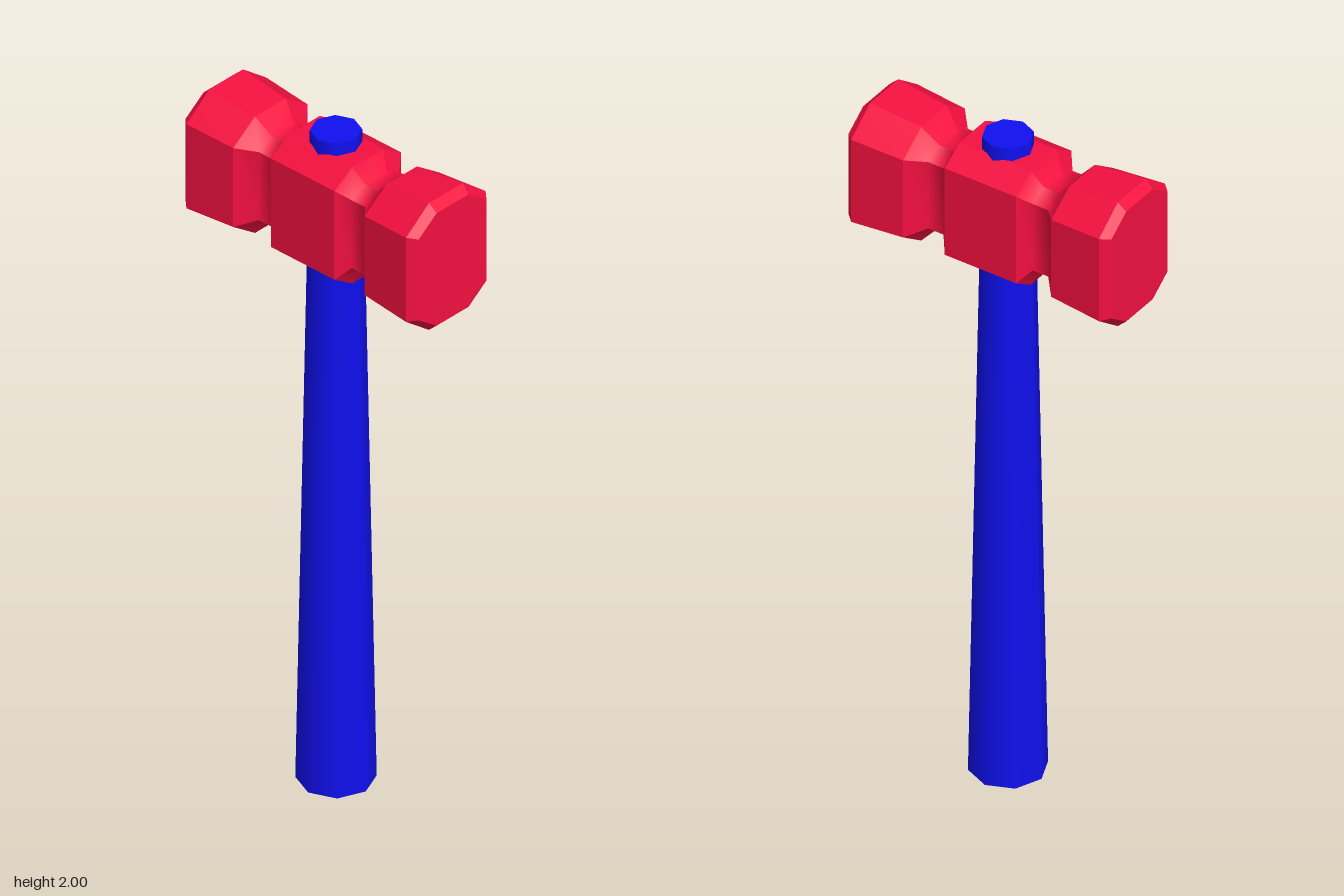
import * as THREE from 'three';

const HEAD_Y = 1.783;

// Half of the head, centre outwards: x, half height, half depth, side-flat half height, top-flat half depth
const HALF = [
  [0.112, 0.18, 0.125, 0.137, 0.058],
  [0.14, 0.132, 0.09, 0.105, 0.042],
  [0.188, 0.132, 0.09, 0.105, 0.042],
  [0.232, 0.18, 0.14, 0.122, 0.058],
  [0.388, 0.196, 0.15, 0.13, 0.064],
  [0.412, 0.174, 0.128, 0.125, 0.06],
];

// Chamfered rectangle in the y-z plane
function ring([x, hy, hz, ky, kz]) {
  return [[hy, -kz], [hy, kz], [ky, hz], [-ky, hz], [-hy, kz], [-hy, -kz], [-ky, -hz], [ky, -hz]]
    .map(([y, z]) => [x, y, z]);
}

function headGeometry() {
  const mirrored = HALF.map(([x, ...rest]) => [-x, ...rest]).reverse();
  const rings = [...mirrored, ...HALF].map(ring);
  // Each run of rings shades smoothly along x; breaks between runs stay sharp
  const runs = [[0, 1], [1, 2], [2, 3, 4, 5], [5, 6], [6, 7, 8, 9], [9, 10], [10, 11]];
  const pos = [], index = [];
  for (const run of runs) {
    for (let s = 0; s < 8; s++) {
      const base = pos.length / 3;
      run.forEach((r, i) => {
        pos.push(...rings[r][s], ...rings[r][(s + 1) % 8]);
        if (i === 0) return;
        const a = base + 2 * (i - 1);
        index.push(a, a + 1, a + 3, a, a + 3, a + 2);
      });
    }
  }
  // Striking faces
  for (const [r, flip] of [[0, true], [11, false]]) {
    const base = pos.length / 3;
    rings[r].forEach((p) => pos.push(...p));
    for (let s = 1; s < 7; s++) {
      if (flip) index.push(base, base + s + 1, base + s);
      else index.push(base, base + s, base + s + 1);
    }
  }
  const geo = new THREE.BufferGeometry();
  geo.setAttribute('position', new THREE.Float32BufferAttribute(pos, 3));
  geo.setIndex(index);
  geo.computeVertexNormals();
  return geo;
}

export function createModel() {
  const group = new THREE.Group();
  group.name = 'hammer';

  // Tapered eight-sided handle passing through the head
  const handle = new THREE.Mesh(
    new THREE.CylinderGeometry(0.068, 0.105, 2, 8),
    new THREE.MeshStandardMaterial({ color: 0x1010f0 }),
  );
  handle.name = 'handle';
  handle.position.y = 1;

  // Double-faced head with two grooves
  const head = new THREE.Mesh(headGeometry(), new THREE.MeshStandardMaterial({ color: 0xf51040 }));
  head.name = 'head';
  head.position.y = HEAD_Y;

  group.add(handle, head);
  return group;
}
